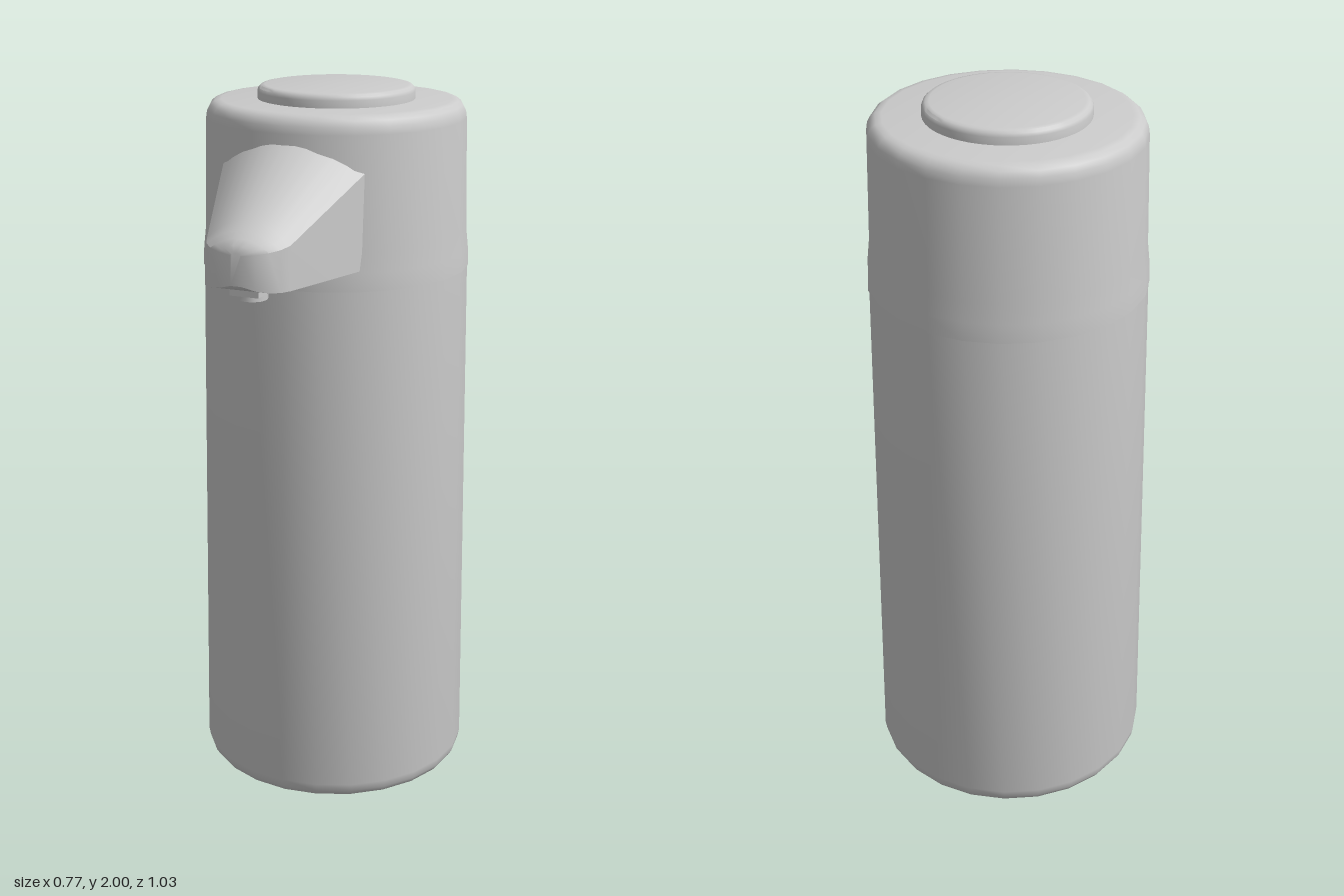
import * as THREE from 'three';
import { toCreasedNormals } from 'three/addons/utils/BufferGeometryUtils.js';

const AXIS_Z = -0.128;

export function createModel() {
  const model = new THREE.Group();
  const material = new THREE.MeshStandardMaterial({ color: 0xcccccc });

  function add(name, geometry, x = 0, y = 0, z = 0) {
    const mesh = new THREE.Mesh(toCreasedNormals(geometry, 0.65), material);
    mesh.name = name;
    mesh.position.set(x, y, z);
    model.add(mesh);
  }

  function turned(name, profile, segments) {
    const points = profile.map(([r, y]) => new THREE.Vector2(r, y));
    add(name, new THREE.LatheGeometry(points, segments), 0, 0, AXIS_Z);
  }

  // Tapered bottle with a rounded foot
  turned('bottle', [
    [0, 0], [0.335, 0], [0.356, 0.004], [0.373, 0.014], [0.383, 0.03], [0.387, 0.052],
    [0.368, 1.51], [0, 1.51],
  ], 24);

  // Pump head with a slightly wider collar and rounded shoulder
  turned('pumpHead', [
    [0, 1.51], [0.371, 1.51], [0.369, 1.56], [0.363, 1.615],
    [0.356, 1.915], [0.353, 1.935], [0.345, 1.95], [0.332, 1.96], [0.315, 1.963], [0, 1.963],
  ], 24);

  // Push button
  turned('button', [
    [0, 1.95], [0.215, 1.95], [0.215, 1.983], [0.212, 1.992], [0.205, 1.998], [0.195, 2], [0, 2],
  ], 48);

  // Spout with arched top, tapering to a rounded tip
  add('spout', spoutGeometry());

  // Outlet under the spout tip
  add('nozzle', new THREE.CylinderGeometry(0.04, 0.04, 0.045, 12), 0, 1.5525, 0.42);
  add('nozzleRib', new THREE.BoxGeometry(0.08, 0.025, 0.1), 0, 1.558, 0.42);

  return model;
}

function spoutGeometry() {
  // Each section: z, half width, crown height, side height, bottom height
  const sections = [
    [0.14, 0.209, 1.95, 1.83, 1.565],
    [0.44, 0.115, 1.735, 1.68, 1.565],
    [0.47, 0.102, 1.713, 1.674, 1.566],
    [0.492, 0.08, 1.698, 1.669, 1.568],
    [0.507, 0.05, 1.684, 1.664, 1.573],
    [0.515, 0.015, 1.667, 1.66, 1.583],
  ];
  const arc = 12, ring = arc + 3;
  const positions = [], index = [];
  for (const [z, w, crown, side, bottom] of sections) {
    positions.push(-w, bottom, z, w, bottom, z);
    for (let i = 0; i <= arc; i++) {
      const t = 1 - (2 * i) / arc;
      positions.push(w * t, side + (crown - side) * (1 - t * t), z);
    }
  }
  for (let s = 0; s < sections.length - 1; s++) {
    for (let i = 0; i < ring; i++) {
      const a = s * ring + i, b = s * ring + ((i + 1) % ring);
      index.push(a, b, b + ring, a, b + ring, a + ring);
    }
  }
  // End caps
  const last = (sections.length - 1) * ring;
  for (let i = 1; i < ring - 1; i++) {
    index.push(0, i + 1, i, last, last + i, last + i + 1);
  }
  const geometry = new THREE.BufferGeometry();
  geometry.setAttribute('position', new THREE.Float32BufferAttribute(positions, 3));
  geometry.setIndex(index);
  return geometry;
}
